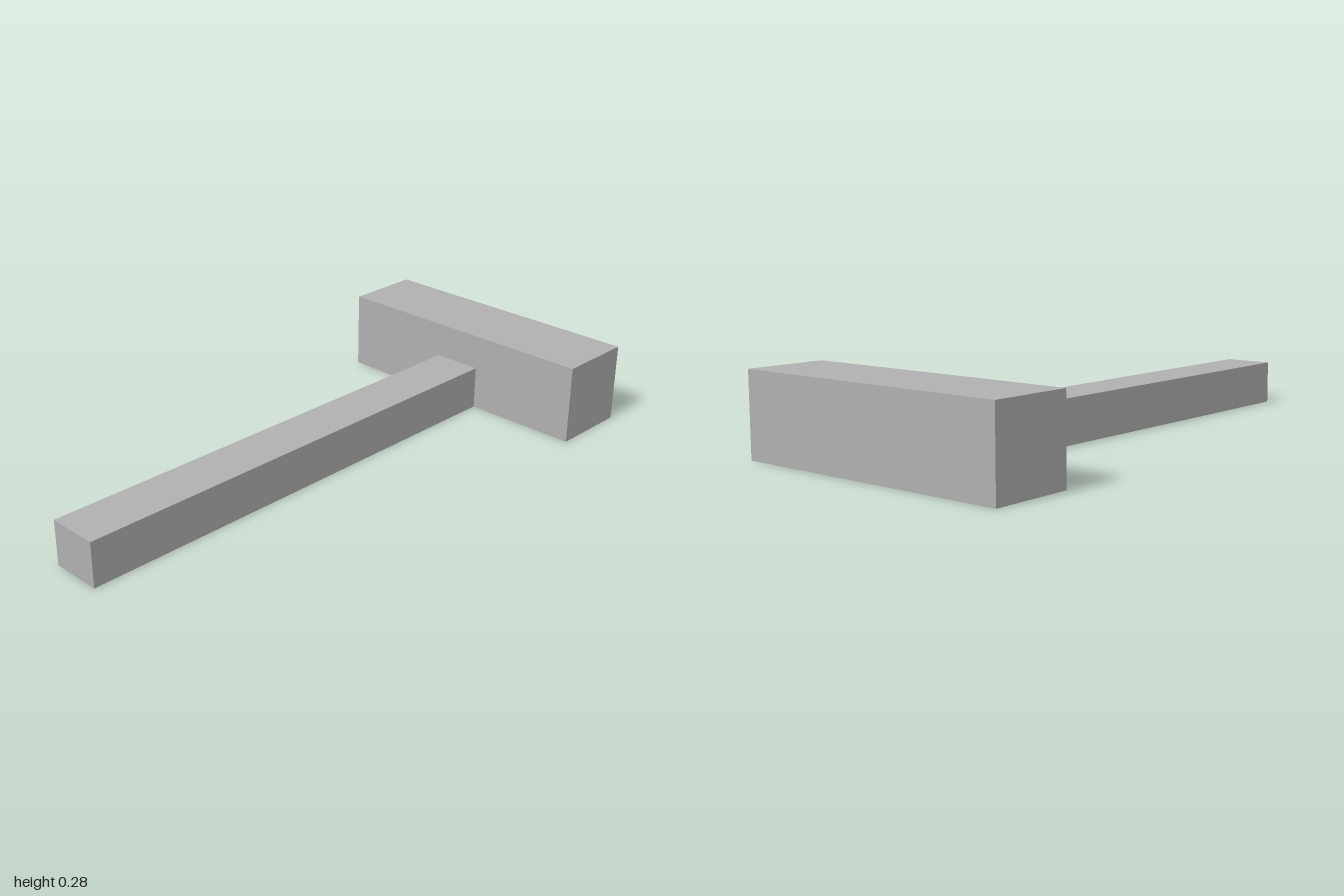
import * as THREE from 'three';

export function createModel() {
  const group = new THREE.Group();
  const grey = new THREE.MeshStandardMaterial({ color: 0xb0b0b0 });
  grey.name = 'grey';

  // Box resting on the ground, spanning x0 to x1
  const addBlock = (name, x0, x1, height, depth) => {
    const mesh = new THREE.Mesh(new THREE.BoxGeometry(x1 - x0, height, depth), grey);
    mesh.name = name;
    mesh.position.set((x0 + x1) / 2, height / 2, 0);
    group.add(mesh);
  };

  // Long handle butting against the cross-wise head
  addBlock('handle', -1, 0.722, 0.154, 0.176);
  addBlock('head', 0.722, 1, 0.278, 1);

  return group;
}
